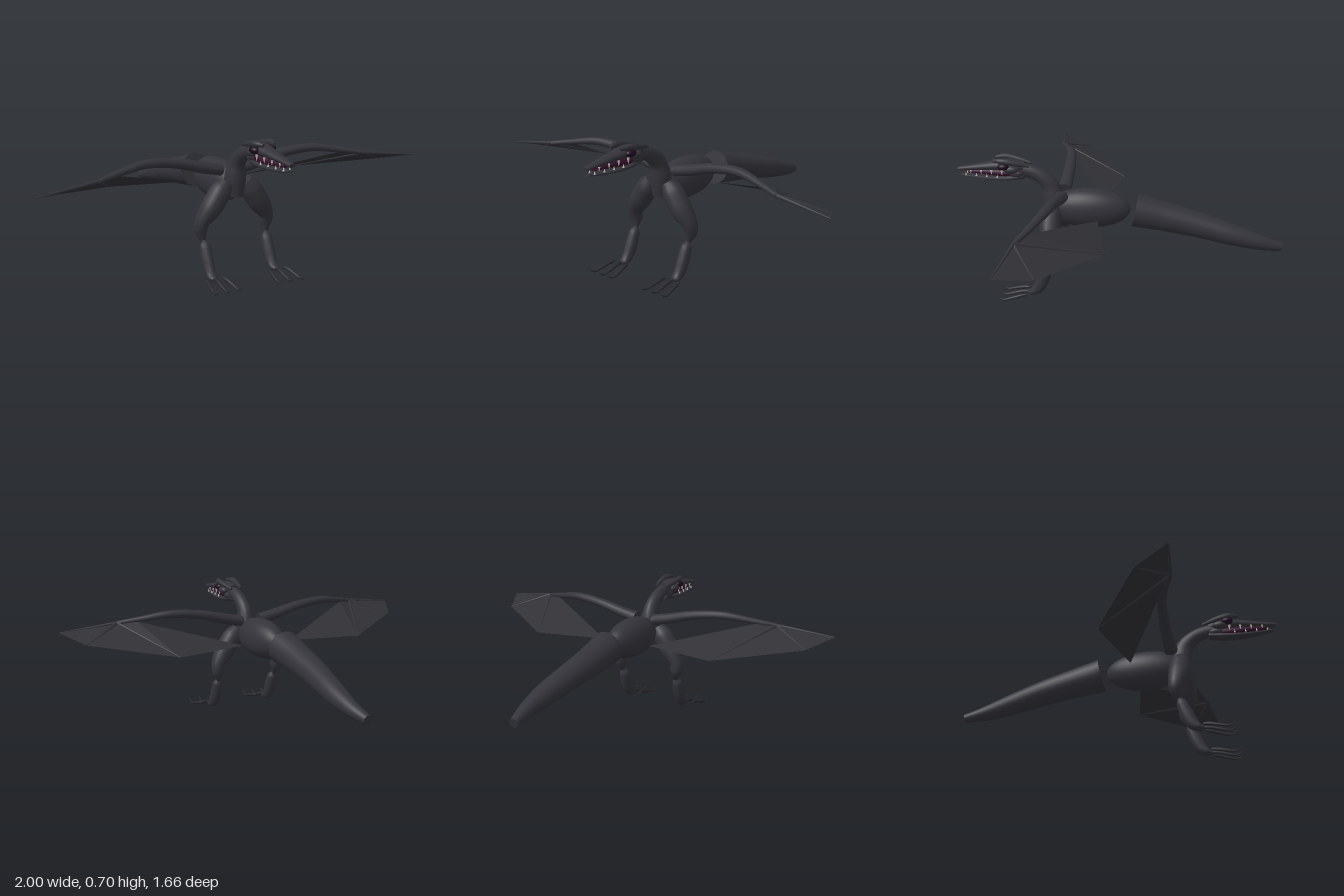
import * as THREE from 'three';

const paint = (name, color, side = THREE.FrontSide) => {
  const m = new THREE.MeshStandardMaterial({ color, side });
  m.name = name;
  return m;
};

// Loft through stations [x, y, z, radiusA, radiusB]; A lies along ref, B is across it.
function loft(stations, ref, sides = 16, steps = 4) {
  const centre = new THREE.CatmullRomCurve3(stations.map((s) => new THREE.Vector3(s[0], s[1], s[2])));
  const size = new THREE.CatmullRomCurve3(stations.map((s) => new THREE.Vector3(s[3], s[4] ?? s[3], 0)));
  const n = (stations.length - 1) * steps;
  const pos = [], idx = [];
  const rings = [];
  for (let i = 0; i <= n; i++) {
    const c = centre.getPoint(i / n), r = size.getPoint(i / n);
    const t = centre.getTangent(i / n);
    const a = ref.clone().addScaledVector(t, -ref.dot(t)).normalize();
    const b = t.clone().cross(a);
    const ring = [];
    for (let j = 0; j < sides; j++) {
      const q = (j / sides) * Math.PI * 2;
      const p = c.clone().addScaledVector(a, Math.cos(q) * r.x).addScaledVector(b, Math.sin(q) * r.y);
      ring.push(p);
      pos.push(p.x, p.y, p.z);
      if (i < n) {
        const k = i * sides, j2 = (j + 1) % sides;
        idx.push(k + j, k + j2, k + sides + j, k + j2, k + sides + j2, k + sides + j);
      }
    }
    rings.push([c, ring]);
  }
  // Flat end caps with their own vertices
  [rings[0], rings[n]].forEach(([c, ring], end) => {
    const k = pos.length / 3;
    pos.push(c.x, c.y, c.z);
    ring.forEach((p) => pos.push(p.x, p.y, p.z));
    for (let j = 0; j < sides; j++) {
      const u = k + 1 + j, v = k + 1 + ((j + 1) % sides);
      idx.push(k, end ? u : v, end ? v : u);
    }
  });
  const g = new THREE.BufferGeometry();
  g.setAttribute('position', new THREE.Float32BufferAttribute(pos, 3));
  g.setIndex(idx);
  g.computeVertexNormals();
  return g;
}

export function createModel() {
  const hide = paint('charcoal hide', 0x34333a);
  const web = paint('wing membrane', 0x313136, THREE.DoubleSide);
  const claw = paint('claw', 0x2b2a30);
  const mouth = paint('mouth purple', 0x36122f);
  const eyeMat = paint('dark eye', 0x1c0a20);
  const ivory = paint('tooth ivory', 0xc4bcb0);
  const X = new THREE.Vector3(1, 0, 0), Y = new THREE.Vector3(0, 1, 0), Z = new THREE.Vector3(0, 0, 1);

  const model = new THREE.Group();
  const add = (name, geo, mat) => {
    const m = new THREE.Mesh(geo, mat);
    m.name = name;
    model.add(m);
    return m;
  };
  const ball = (name, mat, p, r) => {
    const m = add(name, new THREE.SphereGeometry(1, 28, 18), mat);
    m.position.set(...p);
    m.scale.set(...r);
  };

  // Body, detached tail and neck
  ball('body', hide, [0, 0.438, 0.16], [0.086, 0.104, 0.213]);
  add('tail', loft([
    [0, 0.435, -0.076, 0.086, 0.087], [-0.002, 0.404, -0.22, 0.076], [0.004, 0.366, -0.4, 0.065],
    [0.018, 0.322, -0.58, 0.054], [0.018, 0.286, -0.72, 0.038], [0.004, 0.26, -0.825, 0.023],
  ], X, 24), hide);
  add('neck', loft([
    [0, 0.4, 0.325, 0.045, 0.06], [0, 0.475, 0.34, 0.052, 0.056], [0, 0.555, 0.36, 0.038, 0.045],
    [0, 0.61, 0.42, 0.033, 0.036], [0, 0.634, 0.5, 0.03, 0.034], [0, 0.638, 0.57, 0.03, 0.032],
  ], X, 18), hide);

  // Head with open jaws
  add('upperJaw', loft([
    [0, 0.65, 0.49, 0.03, 0.024], [0, 0.657, 0.57, 0.046, 0.03], [0, 0.652, 0.65, 0.036, 0.023],
    [0, 0.641, 0.74, 0.026, 0.016], [0, 0.629, 0.832, 0.016, 0.01],
  ], X, 12), hide);
  add('lowerJaw', loft([
    [0, 0.605, 0.49, 0.025, 0.018], [0, 0.591, 0.56, 0.034, 0.014], [0, 0.587, 0.66, 0.031, 0.011],
    [0, 0.592, 0.75, 0.022, 0.008], [0, 0.6, 0.817, 0.014, 0.006],
  ], X, 12), hide);
  ball('jawHinge', hide, [0, 0.617, 0.528], [0.037, 0.026, 0.048]);
  add('mouthLining', loft([
    [0, 0.618, 0.54, 0.028, 0.022], [0, 0.616, 0.6, 0.03, 0.022],
    [0, 0.618, 0.69, 0.023, 0.016], [0, 0.617, 0.78, 0.012, 0.008],
  ], X, 10), mouth);

  for (const s of [1, -1]) {
    const side = s > 0 ? 'left' : 'right';
    const part = (name, pts, ref, mat = hide, sides = 14) =>
      add(side + name, loft(pts.map(([x, ...r]) => [s * x, ...r]), ref, sides), mat);

    // Brow horn, cheek, eye and teeth
    part('Brow', [
      [0.029, 0.686, 0.642, 0.008], [0.043, 0.687, 0.59, 0.016],
      [0.038, 0.675, 0.52, 0.013], [0.028, 0.66, 0.46, 0.007],
    ], X, hide, 10);
    ball(side + 'Cheek', hide, [s * 0.038, 0.642, 0.55], [0.02, 0.02, 0.038]);
    ball(side + 'Eye', eyeMat, [s * 0.043, 0.658, 0.588], [0.021, 0.018, 0.03]);
    for (let i = 0; i < 4; i++) {
      const z = 0.598 + i * 0.055, x = s * (0.036 - i * 0.0058);
      const upper = add(side + 'UpperTooth', new THREE.ConeGeometry(0.007 - i * 0.0006, 0.03 - i * 0.003, 8), ivory);
      upper.position.set(x, 0.622 - i * 0.0015, z);
      upper.rotation.x = Math.PI;
      const lower = add(side + 'LowerTooth', new THREE.ConeGeometry(0.005, 0.018, 8), ivory);
      lower.position.set(x * 0.85, 0.605 + i * 0.001, z + 0.026);
    }

    // Wing arm, fingers and the thin web between them
    part('WingArm', [
      [0.055, 0.513, 0.295, 0.029, 0.036], [0.15, 0.532, 0.295, 0.028, 0.033], [0.29, 0.566, 0.298, 0.024, 0.029],
      [0.45, 0.581, 0.315, 0.021, 0.025], [0.6, 0.562, 0.358, 0.015, 0.018], [0.71, 0.545, 0.398, 0.011, 0.012],
    ], Y);
    const wrist = [0.71, 0.545, 0.398];
    const tips = [[0.52, 0.421, 0.022], [0.91, 0.474, 0.272], [0.998, 0.515, 0.435]];
    tips.forEach((t) => part('WingFinger', [[...wrist, 0.01], [...t, 0.003]], Y, hide, 8));
    const corners = [[0.62, 0.553, 0.355], wrist, tips[2], tips[1], tips[0], [0.138, 0.423, 0.101]];
    const g = new THREE.BufferGeometry();
    const tri = s > 0 ? [1, 2, 3, 1, 3, 4, 0, 1, 4, 0, 4, 5] : [1, 3, 2, 1, 4, 3, 0, 4, 1, 0, 5, 4];
    g.setAttribute('position', new THREE.Float32BufferAttribute(
      tri.flatMap((i) => [s * corners[i][0], corners[i][1], corners[i][2]]), 3));
    g.computeVertexNormals();
    add(side + 'WingWeb', g, web);

    // Leg: thigh pinched at the ankle joint, then shin and foot
    part('Thigh', [
      [0.05, 0.46, 0.345, 0.035], [0.085, 0.415, 0.345, 0.054], [0.128, 0.35, 0.345, 0.055, 0.054],
      [0.175, 0.28, 0.335, 0.041, 0.036], [0.178, 0.235, 0.33, 0.033, 0.032], [0.17, 0.184, 0.342, 0.01],
    ], Z);
    part('Shin', [
      [0.17, 0.19, 0.344, 0.009], [0.17, 0.165, 0.356, 0.027], [0.17, 0.1, 0.382, 0.033, 0.029],
      [0.17, 0.05, 0.41, 0.03, 0.027], [0.17, 0.03, 0.44, 0.018, 0.024], [0.17, 0.028, 0.46, 0.009, 0.012],
    ], new THREE.Vector3(0, 0.6, 0.8));

    // Three hooked toes, the outer two floating free of the foot
    for (const d of [-1, 0, 1]) {
      part('Toe', [
        [0.17 + d * 0.043, 0.031, 0.462 - (d ? 0 : 0.02), 0.007], [0.17 + d * 0.05, 0.026, 0.492, 0.009],
        [0.17 + d * 0.057, 0.015, 0.535, 0.008], [0.17 + d * 0.061, 0.006, 0.58, 0.005],
        [0.17 + d * 0.06, 0.022, 0.612, 0.0012],
      ], Y, claw, 8);
    }
  }
  return model;
}
